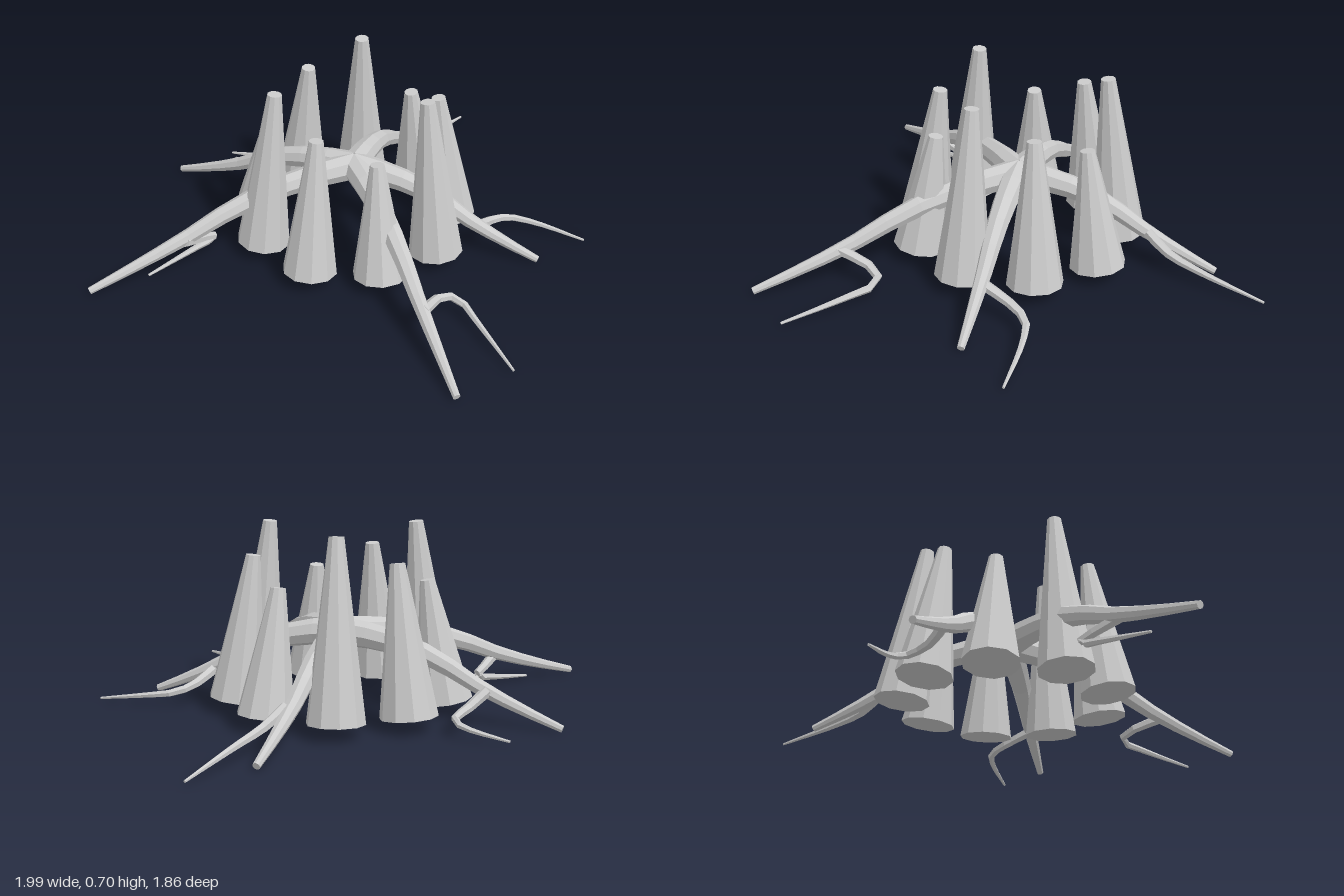
import * as THREE from 'three';

const material = new THREE.MeshStandardMaterial({ color: 0xcccccc, flatShading: true });
const HUB = new THREE.Vector3(0.06, 0, -0.115);

// Tapered, capped tube that follows a smooth curve through the points
function taperedTube(points, r0, r1, rings, sides) {
  const curve = new THREE.CatmullRomCurve3(points, false, 'centripetal');
  const { normals, binormals } = curve.computeFrenetFrames(rings);
  const pos = [], index = [];
  for (let k = -1; k <= rings + 1; k++) {
    const i = THREE.MathUtils.clamp(k, 0, rings), t = i / rings;
    const c = curve.getPointAt(t);
    const r = k === i ? THREE.MathUtils.lerp(r0, r1, t) : 0; // end rings close the caps
    for (let j = 0; j < sides; j++) {
      const a = (j / sides) * Math.PI * 2;
      const p = c.clone()
        .addScaledVector(normals[i], Math.cos(a) * r)
        .addScaledVector(binormals[i], Math.sin(a) * r);
      pos.push(p.x, p.y, p.z);
    }
  }
  for (let k = 0; k < rings + 2; k++) {
    for (let j = 0; j < sides; j++) {
      const a = k * sides + j, b = k * sides + (j + 1) % sides;
      index.push(a, b, a + sides, b, b + sides, a + sides);
    }
  }
  const g = new THREE.BufferGeometry();
  g.setAttribute('position', new THREE.Float32BufferAttribute(pos, 3));
  g.setIndex(index);
  g.computeVertexNormals();
  return g;
}

// Nine truncated cones in a ring, leaning inward, in three repeating heights
function addCones(group) {
  const tops = [0.6, 0.705, 0.51];
  const up = new THREE.Vector3(0, 1, 0);
  for (let i = 0; i < 9; i++) {
    const a = (i / 9) * Math.PI * 2;
    const onRing = (r, y) => new THREE.Vector3(HUB.x + Math.cos(a) * r, y, HUB.z + Math.sin(a) * r);
    const base = onRing(0.4, 0.052), tip = onRing(0.33, tops[i % 3]);
    const axis = tip.clone().sub(base);
    const cone = new THREE.Mesh(new THREE.CylinderGeometry(0.028, 0.108, axis.length(), 10), material);
    cone.name = `cone${i + 1}`;
    cone.position.copy(base).add(tip).multiplyScalar(0.5);
    cone.quaternion.setFromUnitVectors(up, axis.normalize());
    group.add(cone);
  }
}

// Root tip as [x, z], sideways bow, and the side shoot as [x, y, z] points
const ROOTS = [
  { tip: [0.325, 0.92], bow: 0.01,
    shoot: [[0.25, 0.13, 0.6], [0.335, 0.085, 0.475], [0.40, 0.065, 0.46], [0.46, 0.045, 0.59], [0.545, 0.02, 0.81]] },
  { tip: [0.77, 0.195], bow: 0,
    shoot: [[0.54, 0.12, 0.09], [0.62, 0.08, 0.0], [0.70, 0.06, -0.04], [0.81, 0.045, -0.01], [0.99, 0.015, 0.08]] },
  { tip: [0.425, -0.82], bow: 0.01,
    shoot: [[0.31, 0.14, -0.58], [0.39, 0.09, -0.64], [0.49, 0.06, -0.74], [0.65, 0.018, -0.93]] },
  { tip: [-0.675, -0.575], bow: 0,
    shoot: [[-0.43, 0.13, -0.44], [-0.36, 0.085, -0.475], [-0.285, 0.06, -0.555], [-0.32, 0.045, -0.61], [-0.45, 0.018, -0.69]] },
  { tip: [-0.99, 0.26], bow: -0.02,
    shoot: [[-0.62, 0.135, 0.13], [-0.53, 0.085, 0.03], [-0.505, 0.07, 0.01], [-0.59, 0.05, 0.06], [-0.77, 0.018, 0.18]] },
];

// Height of a root along its length
const ROOT_HEIGHTS = [[0, 0.3], [0.2, 0.285], [0.42, 0.235], [0.65, 0.135], [0.85, 0.065], [1, 0.018]];

function addRoots(group) {
  ROOTS.forEach(({ tip, bow, shoot }, i) => {
    const dx = tip[0] - HUB.x, dz = tip[1] - HUB.z, len = Math.hypot(dx, dz);
    const path = ROOT_HEIGHTS.map(([f, y]) => {
      const side = (bow * Math.sin(f * Math.PI)) / len;
      return new THREE.Vector3(HUB.x + dx * f + dz * side, y, HUB.z + dz * f - dx * side);
    });
    const root = new THREE.Mesh(taperedTube(path, 0.057, 0.014, 8, 8), material);
    root.name = `root${i + 1}`;
    const points = shoot.map((p) => new THREE.Vector3(...p));
    const branch = new THREE.Mesh(taperedTube(points, 0.022, 0.005, 9, 6), material);
    branch.name = `sideShoot${i + 1}`;
    group.add(root, branch);
  });
}

export function createModel() {
  const model = new THREE.Group();
  model.name = 'rootedConeCluster';
  const cones = new THREE.Group(), roots = new THREE.Group();
  cones.name = 'coneRing';
  roots.name = 'roots';
  addCones(cones);
  addRoots(roots);
  model.add(cones, roots);
  return model;
}
